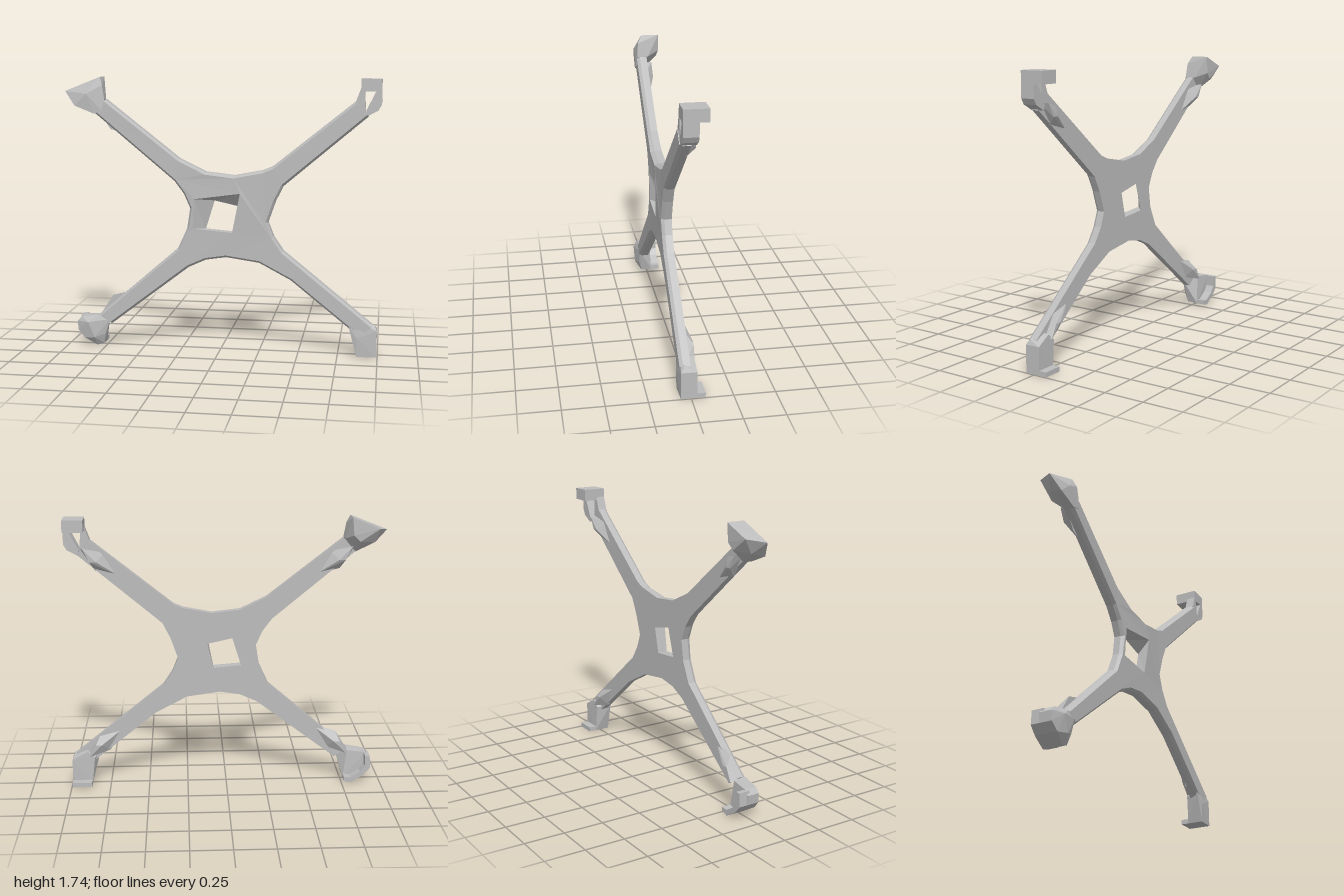
import * as THREE from 'three';
import { ConvexGeometry } from 'three/addons/geometries/ConvexGeometry.js';

const V2 = (p) => new THREE.Vector2(p[0], p[1]);
const V3 = (p) => new THREE.Vector3(p[0], p[1], p[2]);

// Counter-clockwise outline of the four-armed plate
const OUTLINE = [
  [-0.71, 0.15], [-0.2, 0.54], [-0.09, 0.59], [0.04, 0.61], [0.25, 0.58], [0.45, 0.475], [0.88, 0.13],
  [0.97, 0.2], [0.4, 0.66], [0.34, 0.75], [0.305, 0.84], [0.35, 0.97], [0.4, 1.07],
  [0.92, 1.51], [0.84, 1.6], [0.33, 1.19], [0.27, 1.165], [0.09, 1.13], [-0.09, 1.15], [-0.257, 1.23],
  [-0.73, 1.6], [-0.82, 1.53], [-0.29, 1.09], [-0.23, 1.01], [-0.19, 0.92], [-0.21, 0.79], [-0.27, 0.66],
  [-0.79, 0.21],
].map(V2);
// The window through the hub tapers from front to back
const HOLE_FRONT = [[-0.16, 0.98], [0.13, 1.02], [0.08, 0.77], [-0.17, 0.79]].map(V2);
const HOLE_BACK = [[-0.04, 0.965], [0.118, 0.93], [0.08, 0.77], [-0.096, 0.785]].map(V2);

// Move each corner of a loop inwards
function inset(loop, d) {
  return loop.map((p, i) => {
    const a = loop[(i + loop.length - 1) % loop.length];
    const b = loop[(i + 1) % loop.length];
    const t = b.clone().sub(a).normalize();
    return new THREE.Vector2(p.x - t.y * d, p.y + t.x * d);
  });
}

function plateGeometry() {
  const pos = [];
  const swell = (p) => 0.064 + 0.02 * Math.exp(-(p.x ** 2 + (p.y - 1) ** 2) / 0.025);
  const at = (z) => (p) => [p.x, p.y, typeof z === 'number' ? z : z(p)];
  const cap = (loop, hole, z, flip) => {
    const all = [...loop, ...hole].map(at(z));
    for (const [a, b, c] of THREE.ShapeUtils.triangulateShape(loop, [hole])) {
      pos.push(...all[a], ...all[flip ? c : b], ...all[flip ? b : c]);
    }
  };
  const wall = (low, zLow, high, zHigh) => {
    const lo = low.map(at(zLow)), hi = high.map(at(zHigh));
    lo.forEach((p, i) => {
      const j = (i + 1) % lo.length;
      pos.push(...p, ...lo[j], ...hi[j], ...p, ...hi[j], ...hi[i]);
    });
  };
  const front = inset(OUTLINE, 0.014);
  cap(front, HOLE_FRONT, swell, false);
  cap(OUTLINE, HOLE_BACK, 0, true);
  wall(OUTLINE, 0, OUTLINE, 0.045);
  wall(OUTLINE, 0.045, front, swell);
  wall(HOLE_BACK, 0, HOLE_FRONT, swell);
  const g = new THREE.BufferGeometry();
  g.setAttribute('position', new THREE.Float32BufferAttribute(pos, 3));
  g.computeVertexNormals();
  return g;
}

export function createModel() {
  const model = new THREE.Group();
  model.name = 'crossBracket';
  const grey = new THREE.MeshStandardMaterial({ color: 0xbcbcbc });
  grey.name = 'grey';

  const add = (parent, name, geometry) => {
    const m = new THREE.Mesh(geometry, grey);
    m.name = name;
    parent.add(m);
    return m;
  };
  const hull = (parent, name, points) => add(parent, name, new ConvexGeometry(points.map(V3)));
  const box = (parent, name, [x0, x1], [y0, y1], [z0, z1]) => {
    const m = add(parent, name, new THREE.BoxGeometry(x1 - x0, y1 - y0, z1 - z0));
    m.position.set((x0 + x1) / 2, (y0 + y1) / 2, (z0 + z1) / 2);
  };
  const group = (name) => {
    const g = new THREE.Group();
    g.name = name;
    model.add(g);
    return g;
  };

  add(model, 'plate', plateGeometry());

  // Raised wedges on the back of each arm, next to the clips
  for (const sx of [1, -1]) {
    for (const sy of [1, -1]) {
      const shift = sx > 0 ? 0 : -0.1;
      hull(model, 'armWedge', [
        [0.66, 0.5, 0.01], [0.81, 0.54, 0.01], [0.75, 0.65, 0.01], [0.9, 0.68, 0.01],
        [0.8, 0.6, -0.04], [0.84, 0.6, -0.04], [0.88, 0.68, -0.04],
      ].map(([x, y, z]) => [sx * (x + shift), 0.87 + sy * y, z]));
    }
  }

  // Lower left clip: block with a foot under it
  const lowerLeft = group('lowerLeftClip');
  hull(lowerLeft, 'clipBody', [
    [0.87, 0, 0.065], [0.995, 0, 0.06], [0.995, 0.17, 0.06], [0.98, 0.2, 0.04], [0.9, 0.235, 0.05],
    [0.87, 0.22, 0.06], [0.82, 0.19, 0.06], [0.87, 0.12, 0.07],
    [0.87, 0, -0.035], [0.995, 0, -0.035], [0.995, 0.17, -0.035], [0.9, 0.22, -0.03], [0.85, 0.18, -0.03],
  ]);
  box(lowerLeft, 'clipFoot', [0.87, 0.995], [0, 0.03], [-0.085, 0]);

  // Upper left clip: cap held over an opening by two struts
  const upperLeft = group('upperLeftClip');
  box(upperLeft, 'clipCap', [0.868, 0.995], [1.66, 1.735], [-0.085, 0.06]);
  hull(upperLeft, 'outerStrut', [-0.03, 0.06].flatMap((z) => [
    [0.97, 1.68, z], [0.995, 1.68, z], [0.995, 1.58, z], [0.975, 1.545, z], [0.91, 1.51, z], [0.9, 1.54, z],
  ]));
  hull(upperLeft, 'innerStrut', [0, 0.06].flatMap((z) => [
    [0.868, 1.68, z], [0.89, 1.68, z], [0.9, 1.52, z], [0.87, 1.5, z], [0.835, 1.59, z],
  ]));

  // Upper right clip: pointed faceted hood
  const upperRight = group('upperRightClip');
  hull(upperRight, 'clipHood', [
    [-1, 1.65, 0.02], [-0.94, 1.67, -0.085], [-0.77, 1.74, -0.085], [-0.77, 1.74, 0.03],
    [-0.75, 1.69, 0.055], [-0.85, 1.635, 0.07], [-0.735, 1.6, 0.06], [-0.75, 1.53, 0.07],
    [-0.8, 1.51, 0.07], [-0.93, 1.56, 0.06], [-0.8, 1.51, 0.01], [-0.92, 1.58, -0.03],
    [-0.74, 1.6, -0.01], [-0.82, 1.59, -0.08], [-0.78, 1.63, -0.085],
  ]);

  // Lower right clip: faceted knob with a lip around its outer corner
  const lowerRight = group('lowerRightClip');
  hull(lowerRight, 'clipKnob', [
    [-0.94, 0.16, 0.05], [-0.91, 0.19, 0.05], [-0.79, 0.21, 0.06], [-0.72, 0.18, 0.06], [-0.755, 0.08, 0.06],
    [-0.765, 0.015, 0.04], [-0.81, 0, 0.04], [-0.89, 0.05, 0.06], [-0.935, 0.1, 0.05],
    [-0.86, 0.16, 0.085], [-0.82, 0.06, 0.08],
    [-0.94, 0.16, -0.03], [-0.91, 0.19, -0.03], [-0.79, 0.2, -0.02], [-0.765, 0.015, -0.03],
    [-0.81, 0, -0.03], [-0.89, 0.05, -0.03], [-0.935, 0.1, -0.03],
  ]);
  const lip = [[-0.93, 0.185], [-0.935, 0.1], [-0.89, 0.05], [-0.81, 0], [-0.765, 0.012]];
  const lipInner = [[-0.9, 0.185], [-0.9, 0.115], [-0.87, 0.075], [-0.805, 0.035], [-0.765, 0.04]];
  for (let i = 0; i < lip.length - 1; i++) {
    hull(lowerRight, 'clipLip', [-0.085, -0.01].flatMap((z) =>
      [lip[i], lip[i + 1], lipInner[i + 1], lipInner[i]].map(([x, y]) => [x, y, z])));
  }
  return model;
}
